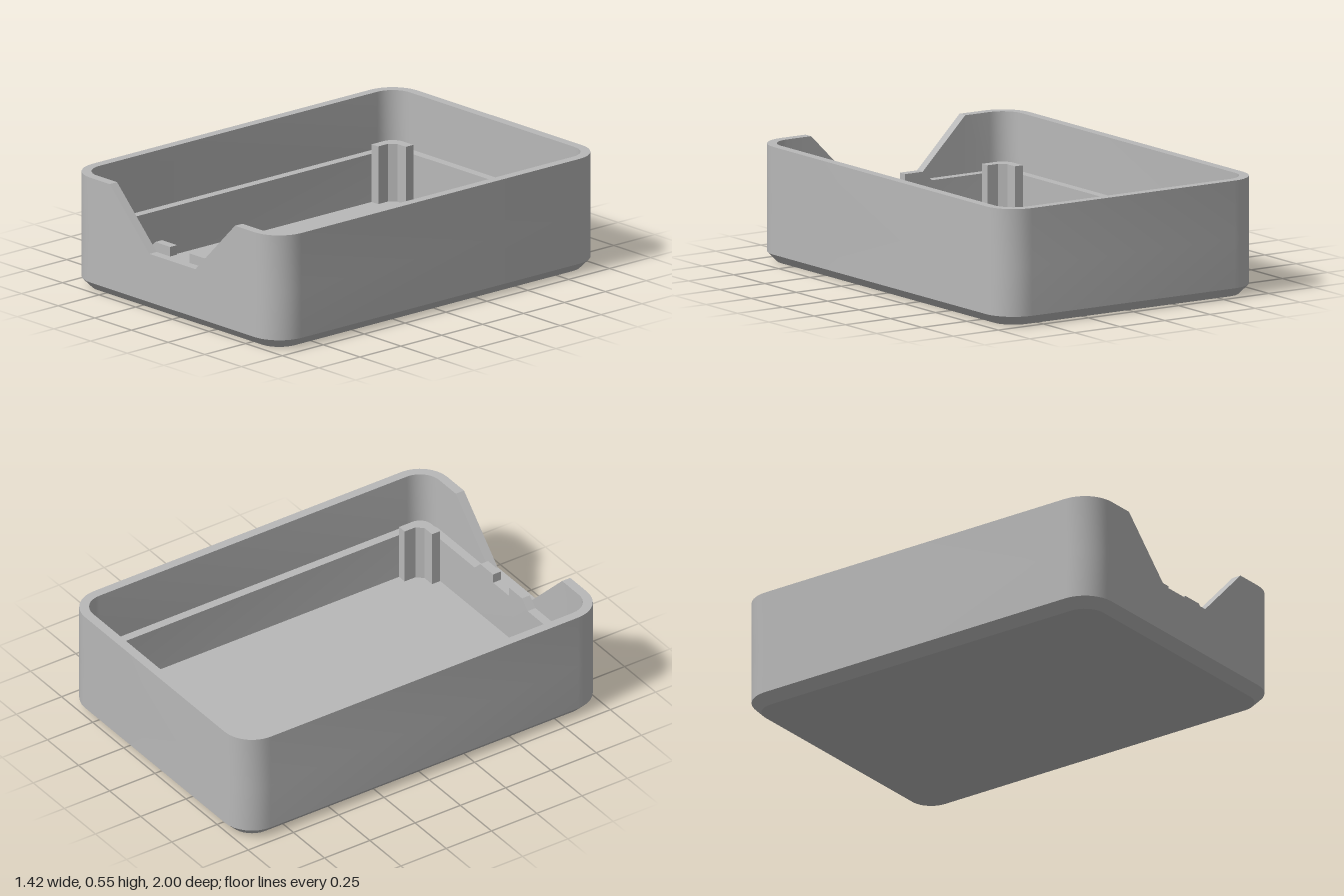
import * as THREE from 'three';
import { toCreasedNormals } from 'three/addons/utils/BufferGeometryUtils.js';

const W = 0.712, D = 1, H = 0.545, R = 0.15; // half width, half depth, height, corner radius
const LEDGE = 0.275, POST = 0.32, FLOOR = 0.045;
const WALL = 0.045, RIM = 0.088; // insets of the upper and lower inner walls
const SEG = 8;

// Rounded rectangle of [x, z] points, inset from the outer footprint, from the front left corner.
function ring(inset) {
  const r = R - inset, pts = [];
  [[1, 1], [1, -1], [-1, -1], [-1, 1]].forEach(([sx, sz], k) => {
    for (let i = 0; i <= SEG; i++) {
      const a = Math.PI / 2 * (1 - k - i / SEG);
      pts.push([sx * (W - R) + r * Math.cos(a), sz * (D - R) + r * Math.sin(a)]);
    }
  });
  return pts;
}

// Skin joining a series of [x, z] rings at given heights.
function loft(sections) {
  const pos = [], idx = [], n = sections[0].pts.length;
  for (const { pts, y } of sections) for (const [x, z] of pts) pos.push(x, y, z);
  for (let s = 0; s < sections.length - 1; s++) {
    for (let i = 0; i < n; i++) {
      const j = (i + 1) % n, a = s * n + i, b = s * n + j;
      if (s > 0) idx.push(a, b, b + n);
      if (s < sections.length - 2) idx.push(a, b + n, a + n);
      if (s === 0) idx.push(a, b + n, a + n);
      else if (s === sections.length - 2) continue;
    }
  }
  // the first section's second triangle is the same face, so drop the duplicate
  const seen = new Set(), clean = [];
  for (let i = 0; i < idx.length; i += 3) {
    const key = idx.slice(i, i + 3).join();
    if (!seen.has(key)) { seen.add(key); clean.push(...idx.slice(i, i + 3)); }
  }
  const g = new THREE.BufferGeometry();
  g.setAttribute('position', new THREE.Float32BufferAttribute(pos, 3));
  g.setIndex(clean);
  return toCreasedNormals(g, 0.6);
}

const shapeOf = pts => new THREE.Shape(pts.map(([a, b]) => new THREE.Vector2(a, b)));

// Upright prism over an [x, z] outline.
function prism(pts, y0, y1) {
  const g = new THREE.ExtrudeGeometry(shapeOf(pts), { depth: y1 - y0, bevelEnabled: false });
  return toCreasedNormals(g.rotateX(Math.PI / 2).translate(0, y1, 0), 0.6);
}

// Plate with an [x, y] outline between two depths.
function plate(pts, z0, z1) {
  return new THREE.ExtrudeGeometry(shapeOf(pts), { depth: z1 - z0, bevelEnabled: false }).translate(0, 0, z0);
}

export function createModel() {
  const model = new THREE.Group();
  model.name = 'openTray';
  const grey = new THREE.MeshStandardMaterial({ color: 0xb8b8b8 });
  grey.name = 'grey';
  const add = (name, geometry) => {
    const mesh = new THREE.Mesh(geometry, grey);
    mesh.name = name;
    model.add(mesh);
  };

  // Lower tray: chamfered base, outer wall, ledge, inner wall and floor
  const centre = ring(0).map(() => [0, 0]);
  add('lowerTray', loft([
    { pts: centre, y: 0 },
    { pts: ring(WALL), y: 0 },
    { pts: ring(0), y: FLOOR },
    { pts: ring(0), y: LEDGE },
    { pts: ring(RIM), y: LEDGE },
    { pts: ring(RIM), y: FLOOR },
    { pts: centre, y: FLOOR },
  ]));

  // Upper wall, open at the front
  const top = 0.427, low = 0.157, zi = D - WALL;
  add('upperWall', prism([
    [top, D], ...ring(0), [-top, D],
    [-top, zi], ...ring(WALL).reverse(), [top, zi],
  ], LEDGE, H));

  for (const s of [1, -1]) {
    const side = s > 0 ? 'Left' : 'Right';
    // Sloped sides of the front notch
    add('notchSlope' + side, plate([[s * low, LEDGE], [s * top, LEDGE], [s * top, H]], zi, D));
    // Small locating tabs behind the notch
    add('tab' + side, plate(
      [[s * 0.065, LEDGE], [s * 0.213, LEDGE], [s * 0.168, POST], [s * 0.065, POST]], D - RIM, zi));
    // L-shaped corner posts
    const corner = ring(RIM).slice(0, SEG + 1);
    const x = W - RIM, z = D - RIM, t = 0.045;
    const outline = [
      [0.49, z], ...corner, [x, 0.777], [x - t, 0.777],
      [x - t, z - t - 0.03], [x - t - 0.03, z - t], [0.49, z - t],
    ];
    for (const f of [1, -1]) {
      add((f > 0 ? 'front' : 'back') + side + 'Post',
        prism(outline.map(([a, b]) => [a * s, b * f]), FLOOR, POST));
    }
  }
  return model;
}
